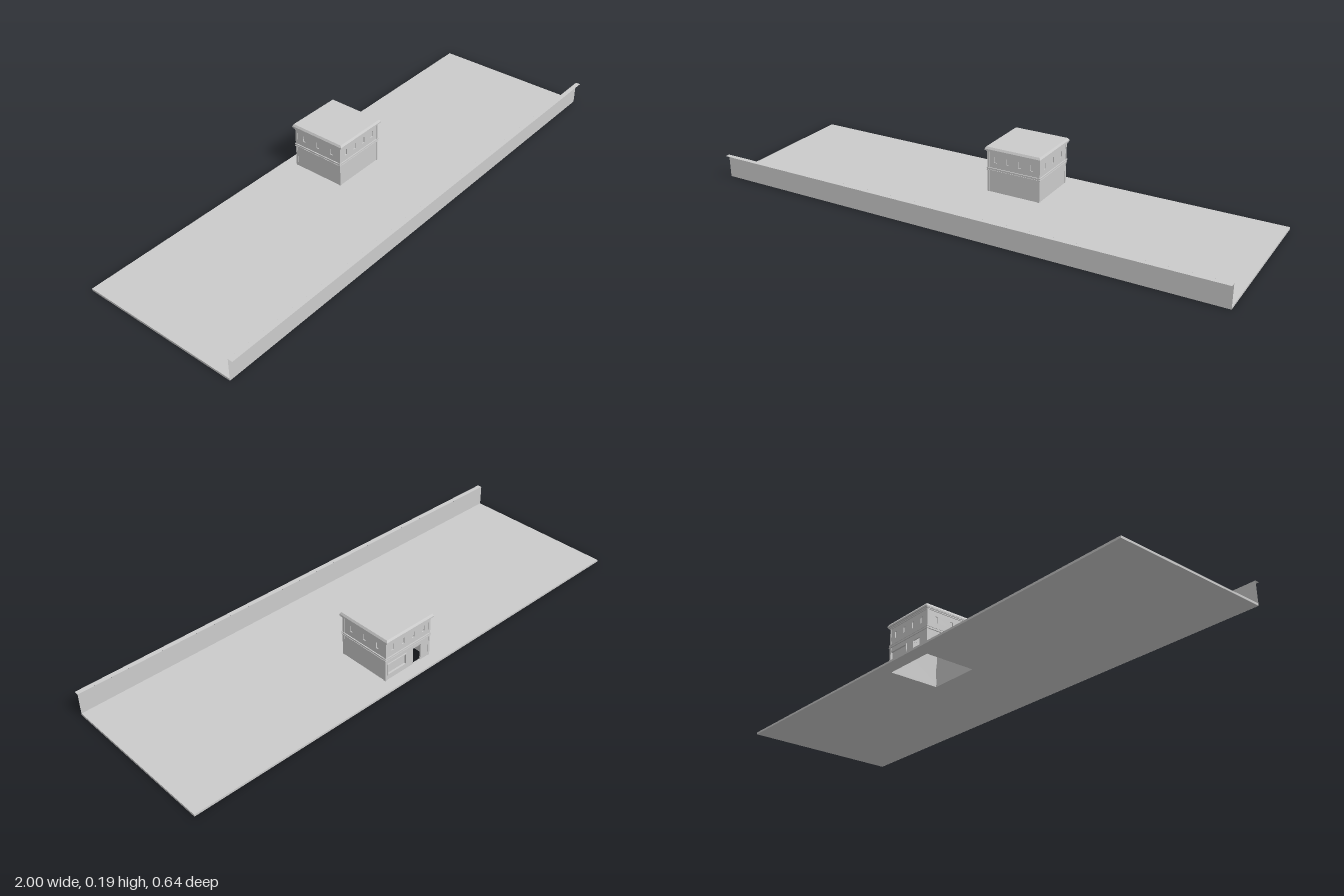
import * as THREE from 'three';

const mat = new THREE.MeshStandardMaterial({ color: 0xcccccc, flatShading: true });
const thin = new THREE.MeshStandardMaterial({ color: 0xcccccc, side: THREE.DoubleSide });

function add(parent, name, geo, x = 0, y = 0, z = 0, material = mat) {
  const m = new THREE.Mesh(geo, material);
  m.name = name;
  m.position.set(x, y, z);
  parent.add(m);
  return m;
}

const box = (w, h, d) => new THREE.BoxGeometry(w, h, d);

// Rectangle outline from corner to corner
function rect(Type, x0, y0, x1, y1) {
  const p = new Type();
  p.moveTo(x0, y0);
  p.lineTo(x1, y0);
  p.lineTo(x1, y1);
  p.lineTo(x0, y1);
  p.closePath();
  return p;
}

// Rectangular ring lying flat, extruded upwards
function ring(hx, hz, t, h) {
  const s = rect(THREE.Shape, -hx, -hz, hx, hz);
  s.holes.push(rect(THREE.Path, -hx + t, -hz + t, hx - t, hz - t));
  return new THREE.ExtrudeGeometry(s, { depth: h, bevelEnabled: false }).rotateX(-Math.PI / 2);
}

export function createModel() {
  const model = new THREE.Group();
  model.name = 'houseOnPlot';
  const HX = 0.108, HZ = 0.106, CX = 0.045, CZ = -0.167, BASE = 0.008, TOP = 0.176, T = 0.005;

  // Ground slab, open beneath the house
  const plot = rect(THREE.Shape, -1, -0.303, 1, 0.322);
  plot.holes.push(rect(THREE.Path, CX - HX + T, -CZ - HZ + T, CX + HX - T, -CZ + HZ - T));
  add(model, 'groundSlab', new THREE.ExtrudeGeometry(plot, { depth: BASE, bevelEnabled: false }).rotateX(-Math.PI / 2));

  // Thin boundary wall with a flat lip along the front
  add(model, 'boundaryWall', new THREE.PlaneGeometry(2, 0.09), 0, 0.045, 0.3035, thin);
  add(model, 'boundaryLip', new THREE.PlaneGeometry(2, 0.0185).rotateX(-Math.PI / 2), 0, 0.09, 0.3128, thin);

  const house = new THREE.Group();
  house.name = 'house';
  house.position.set(CX, 0, CZ);
  model.add(house);

  // Walls: small upper windows all round, door and wide window at the back
  const sides = [
    { name: 'front', half: HX, out: HZ, turn: 0, count: 4 },
    { name: 'left', half: HZ, out: HX, turn: Math.PI / 2, count: 3 },
    { name: 'back', half: HX, out: HZ, turn: Math.PI, count: 4 },
    { name: 'right', half: HZ, out: HX, turn: -Math.PI / 2, count: 3 },
  ];
  for (const { name, half, out, turn, count } of sides) {
    const side = new THREE.Group();
    side.name = name + 'Side';
    side.rotation.y = turn;
    house.add(side);
    const shape = rect(THREE.Shape, -half, BASE, half, TOP);
    for (let i = 0; i < count; i++) {
      const x = ((i + 0.5) / count - 0.5) * 2 * (half - 0.008);
      shape.holes.push(rect(THREE.Path, x - 0.006, 0.126, x + 0.006, 0.15));
      add(side, 'upperWindowPane', box(0.012, 0.024, 0.001), x, 0.138, out - 0.004);
    }
    if (name === 'back') {
      shape.holes.push(rect(THREE.Path, 0.027, 0.009, 0.065, 0.076));
      shape.holes.push(rect(THREE.Path, -0.098, 0.034, -0.012, 0.074));
      add(side, 'wideWindowPane', box(0.086, 0.04, 0.001), -0.055, 0.054, out - 0.004);
      // Protruding frame round the wide window
      for (const s of [-1, 1]) {
        add(side, 'windowFrameRail', box(0.094, 0.004, 0.005), -0.055, 0.054 + s * 0.022, out + 0.0015);
        add(side, 'windowFrameStile', box(0.004, 0.04, 0.005), -0.055 + s * 0.045, 0.054, out + 0.0015);
      }
    }
    add(side, 'wall', new THREE.ExtrudeGeometry(shape, { depth: T, bevelEnabled: false }), 0, 0, out - T);
  }

  // Corner pilasters
  for (const sx of [-1, 1]) for (const sz of [-1, 1]) {
    add(house, 'cornerPilaster', box(0.008, 0.16, 0.008), sx * (HX - 0.0025), BASE + 0.08, sz * (HZ - 0.0025));
  }

  // Belt course between the storeys: a band edged by two ledges
  add(house, 'beltBand', ring(HX + 0.0022, HZ + 0.0022, 0.006, 0.01), 0, 0.095, 0);
  for (const y of [0.094, 0.102]) add(house, 'beltLedge', ring(HX + 0.004, HZ + 0.004, 0.008, 0.003), 0, y, 0);

  // Stepped cornice under the eaves
  add(house, 'corniceLower', ring(HX + 0.003, HZ + 0.003, 0.007, 0.004), 0, 0.168, 0);
  add(house, 'corniceUpper', ring(HX + 0.006, HZ + 0.006, 0.01, 0.003), 0, 0.172, 0);

  // Roof slab with sloping upper edges
  add(house, 'roofEaves', box(0.23, 0.005, 0.234), 0, 0.1775, 0);
  const cap = box(0.23, 0.008, 0.234);
  const p = cap.attributes.position;
  for (let i = 0; i < p.count; i++) {
    if (p.getY(i) > 0) p.setXYZ(i, p.getX(i) * 0.96, p.getY(i), p.getZ(i) * 0.96);
  }
  cap.computeVertexNormals();
  add(house, 'roofCap', cap, 0, 0.184, 0);

  return model;
}
